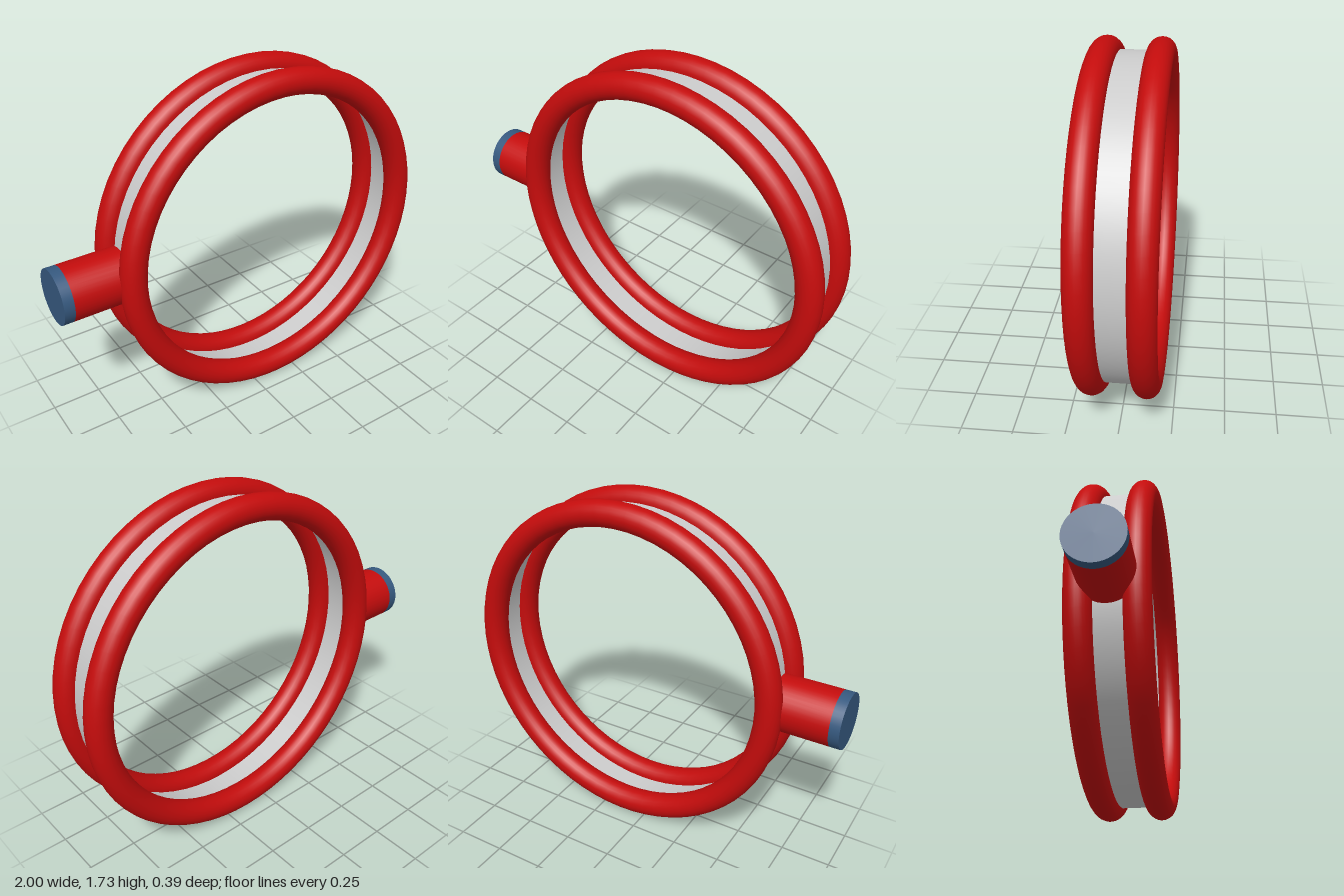
import * as THREE from 'three';

export function createModel() {
  const group = new THREE.Group();
  const red = new THREE.MeshStandardMaterial({ color: 0xc40c0c, side: THREE.DoubleSide });
  const blue = new THREE.MeshStandardMaterial({ color: 0x36597f });
  const grey = new THREE.MeshStandardMaterial({ color: 0xcccccc, side: THREE.DoubleSide });

  const cx = 0.136, cy = 0.865, R = 0.8, tube = 0.064, ringZ = 0.129, pipeR = 0.135;

  const add = (name, geometry, material, x, z = 0) => {
    const mesh = new THREE.Mesh(geometry, material);
    mesh.name = name;
    mesh.position.set(x, cy, z);
    group.add(mesh);
  };

  // Twin round hoops, front and back
  const hoop = new THREE.TorusGeometry(R, tube, 24, 64);
  add('frontHoop', hoop, red, cx, ringZ);
  add('backHoop', hoop, red, cx, -ringZ);

  // Thin band joining the hoops
  const band = new THREE.CylinderGeometry(R, R, ringZ * 2, 64, 1, true).rotateX(Math.PI / 2);
  add('band', band, grey, cx);

  // Side pipe running from the band out to its end cap
  const pipe = (x0, x1, open) =>
    new THREE.CylinderGeometry(pipeR, pipeR, x1 - x0, 40, 1, open)
      .rotateZ(Math.PI / 2).translate((x0 + x1) / 2, 0, 0);
  add('sidePipe', pipe(-0.95, -0.663, true), red, 0);
  add('pipeEnd', pipe(-1, -0.95, false), blue, 0);

  return group;
}
